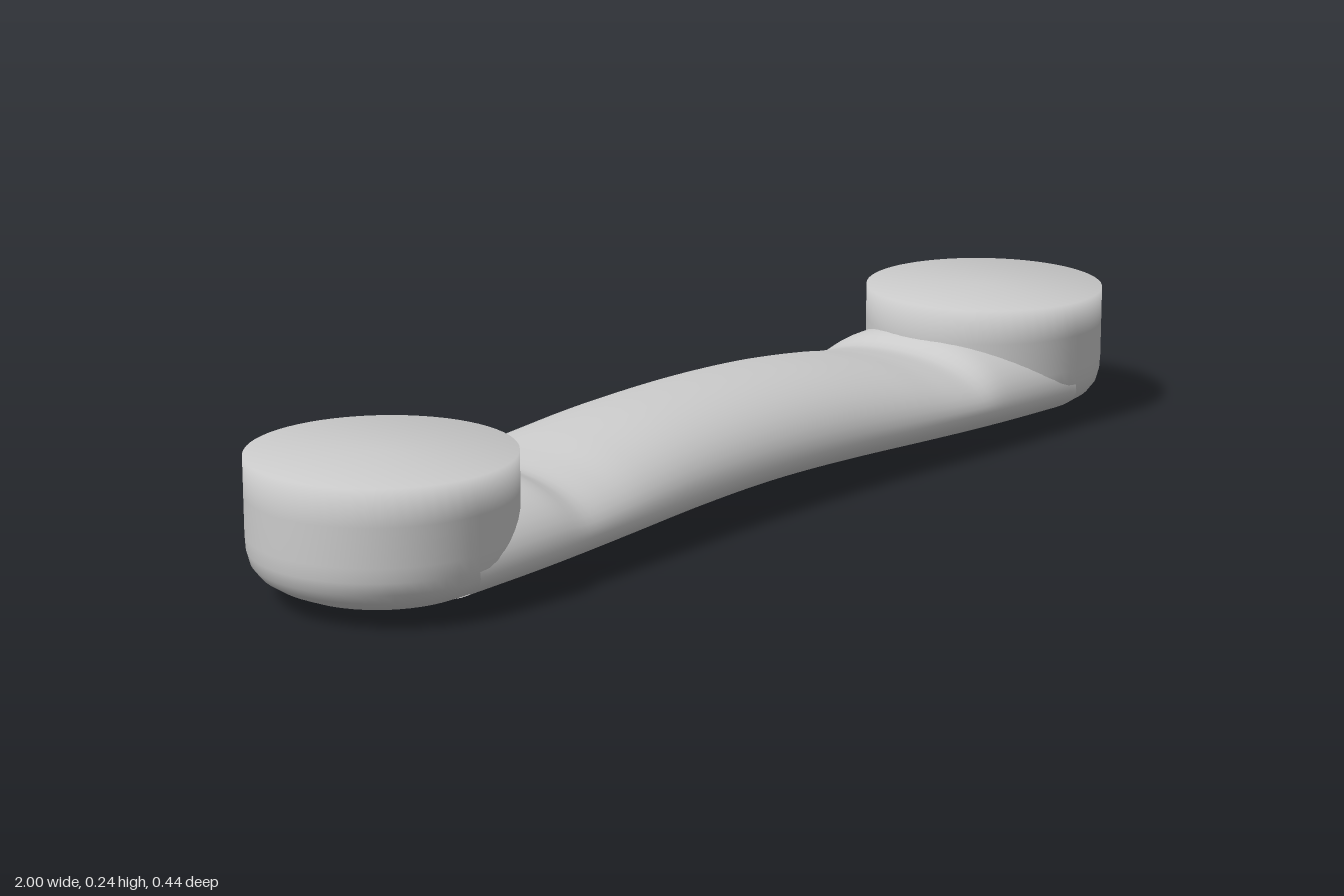
import * as THREE from 'three';

const material = new THREE.MeshStandardMaterial({ color: 0xcccccc, side: THREE.DoubleSide });
const CUP_X = 0.78;
const CUP_R = 0.22;

// Smooth curve through a few [x, y] points, read as y at |x|
function profile(points) {
  const mirrored = [...points.slice(1).reverse().map(([x, y]) => [-x, y]), ...points];
  const curve = new THREE.CatmullRomCurve3(mirrored.map(([x, y]) => new THREE.Vector3(x, y, 0)));
  const samples = curve.getPoints(400);
  return (x) => {
    const i = Math.max(1, samples.findIndex((p) => p.x >= x - 1e-9));
    const a = samples[i - 1], b = samples[i];
    return THREE.MathUtils.lerp(a.y, b.y, THREE.MathUtils.clamp((x - a.x) / (b.x - a.x), 0, 1));
  };
}

// Arched bar: lofted rounded sections, shallow below the widest line and fuller above it
function barGeometry() {
  const top = profile([[0, 0.205], [0.2, 0.198], [0.35, 0.181], [0.45, 0.165], [0.52, 0.16], [0.552, 0.172], [0.58, 0.18], [0.79, 0.18]]);
  const bottom = profile([[0, 0.026], [0.25, 0.02], [0.5, 0.01], [0.65, 0.006], [0.79, 0.004]]);
  const halfWidth = profile([[0, 0.188], [0.2, 0.192], [0.4, 0.204], [0.6, 0.215], [0.79, 0.219]]);
  const widest = profile([[0, 0.09], [0.4, 0.08], [0.79, 0.07]]);
  const rows = 96, sides = 48;
  const positions = [], index = [];
  for (let i = 0; i <= rows; i++) {
    const x = -CUP_X + (2 * CUP_X * i) / rows;
    const w = halfWidth(x), m = widest(x);
    for (let j = 0; j < sides; j++) {
      const t = (j / sides) * Math.PI * 2;
      const c = Math.cos(t), s = Math.sin(t);
      const z = w * Math.sign(c) * Math.pow(Math.abs(c), s > 0 ? 0.9 : 1);
      positions.push(x, m + s * (s > 0 ? top(x) - m : m - bottom(x)), z);
      if (i < rows) {
        const a = i * sides + j, b = i * sides + ((j + 1) % sides);
        index.push(a, a + sides, b, b, a + sides, b + sides);
      }
    }
  }
  const geometry = new THREE.BufferGeometry();
  geometry.setAttribute('position', new THREE.Float32BufferAttribute(positions, 3));
  geometry.setIndex(index);
  geometry.computeVertexNormals();
  return geometry;
}

// Round end post: softly rounded underside, straight wall, flat top with a soft-shaded rim
function postGeometry() {
  const points = [
    [0, 0], [0.06, 0.003], [0.11, 0.01], [0.15, 0.021], [0.18, 0.034], [0.2, 0.047],
    [0.213, 0.064], [0.2185, 0.085], [CUP_R, 0.11], [CUP_R, 0.175], [CUP_R, 0.238], [0, 0.238],
  ].map(([r, y]) => new THREE.Vector2(r, y));
  return new THREE.LatheGeometry(points, 64);
}

export function createModel() {
  const group = new THREE.Group();
  group.name = 'pullHandle';

  const bar = new THREE.Mesh(barGeometry(), material);
  bar.name = 'gripBar';
  group.add(bar);

  const post = postGeometry();
  for (const [name, side] of [['leftPost', 1], ['rightPost', -1]]) {
    const mesh = new THREE.Mesh(post, material);
    mesh.name = name;
    mesh.position.x = side * CUP_X;
    group.add(mesh);
  }
  return group;
}
